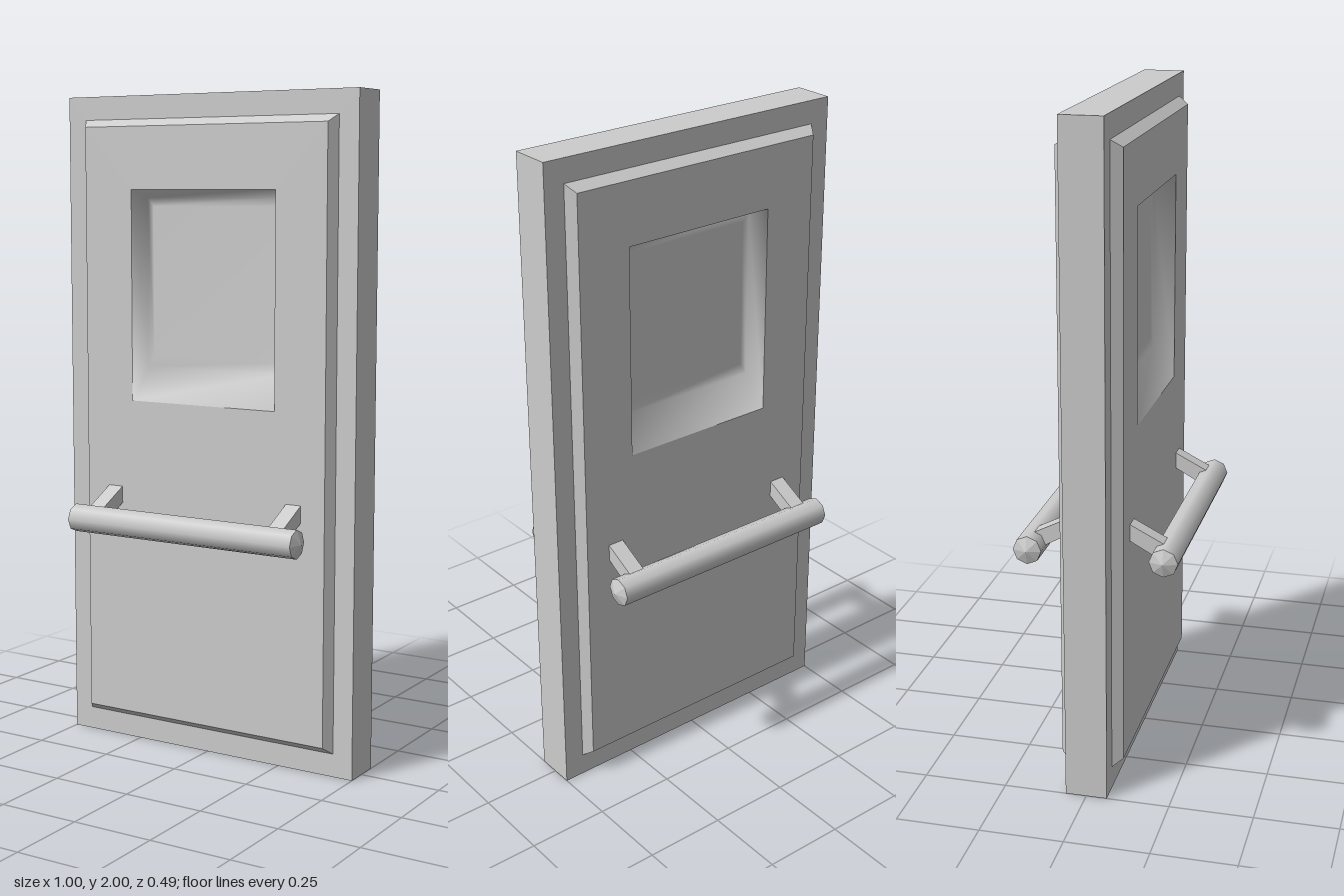
import * as THREE from 'three';

const grey = new THREE.MeshStandardMaterial({ color: 0xcccccc });
grey.name = 'door grey';

// Surface through nested rectangles [halfWidth, bottom, top, z], outermost first
function rectLoft(rings, capped, smooth) {
  const pos = [], idx = [];
  for (const [w, b, t, z] of rings) pos.push(-w, b, z, w, b, z, w, t, z, -w, t, z);
  for (let r = 0; r < rings.length - 1; r++) {
    for (let i = 0; i < 4; i++) {
      const a = r * 4 + i, b = r * 4 + (i + 1) % 4;
      idx.push(a, b, b + 4, a, b + 4, a + 4);
    }
  }
  const n = (rings.length - 1) * 4;
  if (capped) idx.push(n, n + 1, n + 2, n, n + 2, n + 3);
  let geo = new THREE.BufferGeometry();
  geo.setAttribute('position', new THREE.Float32BufferAttribute(pos, 3));
  geo.setIndex(idx);
  if (!smooth) geo = geo.toNonIndexed();
  geo.computeVertexNormals();
  return geo;
}

function rectPath(path, w, b, t) {
  path.moveTo(-w, b);
  path.lineTo(w, b);
  path.lineTo(w, t);
  path.lineTo(-w, t);
  path.closePath();
  return path;
}

function add(parent, geometry, name) {
  const mesh = new THREE.Mesh(geometry, grey);
  mesh.name = name;
  parent.add(mesh);
  return mesh;
}

// Everything mounted on one face of the door
function createFace(name) {
  const face = new THREE.Group();
  face.name = name;

  // Raised panel with bevelled border and an opening for the recess
  add(face, rectLoft([
    [0.437, 0.07, 1.93, 0.0625],
    [0.418, 0.093, 1.908, 0.094],
    [0.25, 1.08, 1.72, 0.094],
  ], false, false), 'raisedPanel');

  // Window recess with a sloping sill, softly blended into its floor
  add(face, rectLoft([
    [0.25, 1.08, 1.72, 0.094],
    [0.233, 1.18, 1.695, 0.029],
    [0.215, 1.215, 1.67, 0.025],
  ], true, true), 'windowRecess');

  // Push bar: eight-sided, smooth along its length, with pointed ends
  const handle = new THREE.Group();
  handle.name = 'pushBar';
  handle.position.set(0, 0.72, 0.203);
  face.add(handle);
  const bar = add(handle, new THREE.CylinderGeometry(0.043, 0.043, 0.776, 8, 1, true), 'bar');
  bar.rotation.z = Math.PI / 2;
  for (const side of [-1, 1]) {
    const cone = new THREE.ConeGeometry(0.043, 0.015, 8, 1, true).toNonIndexed();
    cone.computeVertexNormals();
    const cap = add(handle, cone, side < 0 ? 'rightBarEnd' : 'leftBarEnd');
    cap.rotation.z = -side * Math.PI / 2;
    cap.position.x = side * 0.3955;
  }

  // Sloping brackets, profile drawn in z and y
  const profile = new THREE.Shape([
    [0.085, 0.764], [0.185, 0.708], [0.196, 0.758], [0.094, 0.81], [0.085, 0.81],
  ].map(([z, y]) => new THREE.Vector2(z, y)));
  for (const side of [-1, 1]) {
    const geo = new THREE.ExtrudeGeometry(profile, { depth: 0.05, bevelEnabled: false });
    geo.translate(0, 0, -0.025);
    geo.rotateY(-Math.PI / 2);
    add(face, geo, side < 0 ? 'rightBracket' : 'leftBracket').position.x = side * 0.315;
  }
  return face;
}

export function createModel() {
  const door = new THREE.Group();
  door.name = 'door';

  // Slab, cut through where the recesses sit
  const outline = rectPath(new THREE.Shape(), 0.5, 0, 2);
  outline.holes.push(rectPath(new THREE.Path(), 0.25, 1.08, 1.72));
  const slab = new THREE.ExtrudeGeometry(outline, { depth: 0.125, bevelEnabled: false });
  slab.translate(0, 0, -0.0625);
  add(door, slab, 'slab');

  // Both faces carry the same fittings
  const back = createFace('backFace');
  back.rotation.y = Math.PI;
  door.add(createFace('frontFace'), back);
  return door;
}
